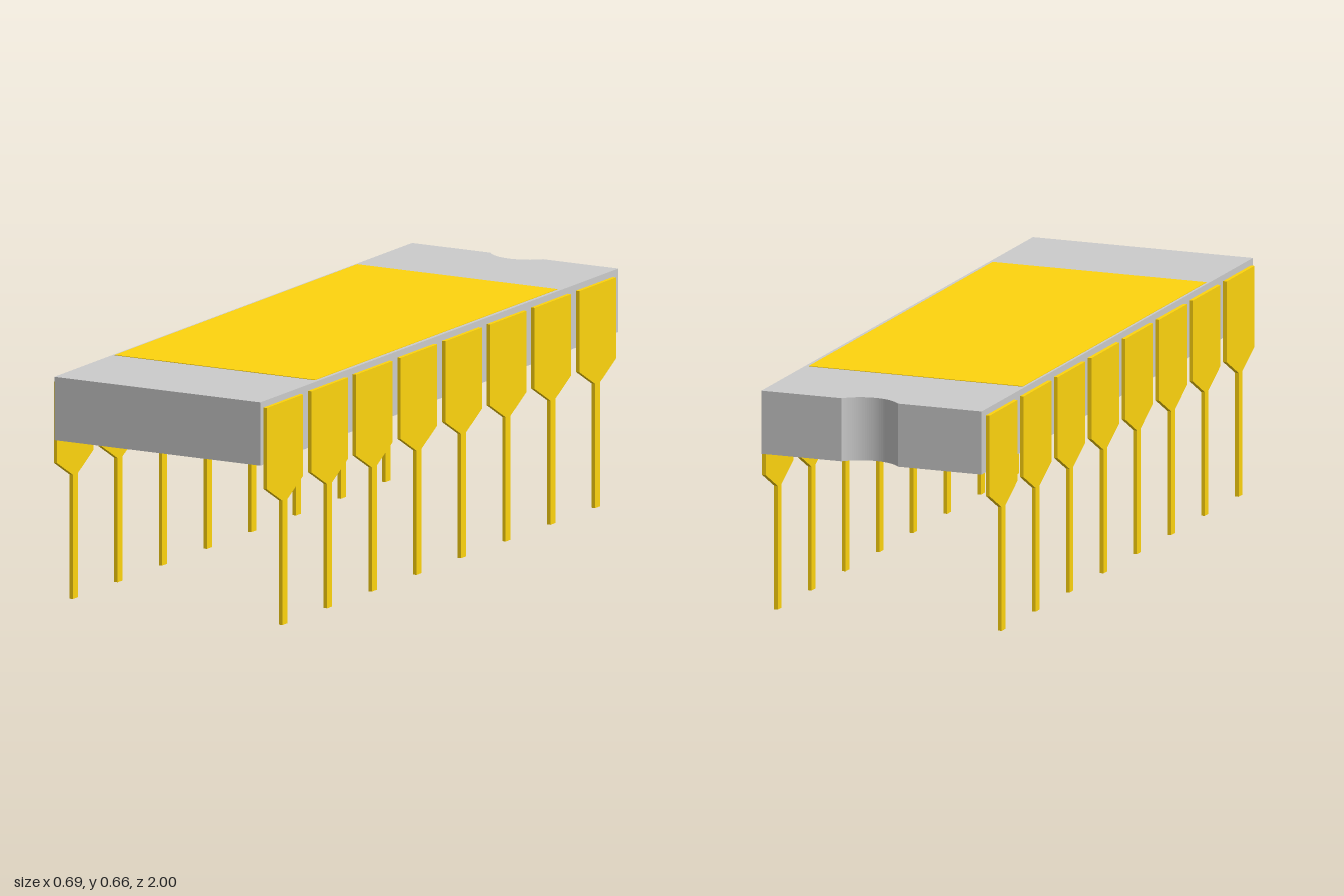
import * as THREE from 'three';

const grey = new THREE.MeshStandardMaterial({ color: 0xcccccc });
const gold = new THREE.MeshStandardMaterial({ color: 0xffd50e });

// Rectangular package with an orientation notch in its back end
function makeBody() {
  const w = 0.332, bottom = 0.474, top = 0.655;
  const notchX = 0.005, half = 0.085, depth = 0.04;
  const r = (half * half + depth * depth) / (2 * depth);
  const a = Math.asin(half / r);
  const s = new THREE.Shape(); // shape y becomes -z
  s.moveTo(-w, -1);
  s.lineTo(w, -1);
  s.lineTo(w, 1);
  s.lineTo(notchX + half, 1);
  s.absarc(notchX, 1 - depth + r, r, -Math.PI / 2 + a, -Math.PI / 2 - a, true);
  s.lineTo(-w, 1);
  s.closePath();
  const g = new THREE.ExtrudeGeometry(s, { depth: top - bottom, bevelEnabled: false, curveSegments: 16 });
  g.rotateX(-Math.PI / 2).translate(0, bottom, 0);
  const body = new THREE.Mesh(g, grey);
  body.name = 'body';
  return body;
}

// Flat pin outline: wide plate, sloped shoulders, narrow stem
function makePinGeometry(thickness) {
  const hw = 0.102, stem = 0.014;
  const s = new THREE.Shape([
    [-stem, 0], [stem, 0], [stem, 0.355], [hw, 0.405],
    [hw, 0.637], [-hw, 0.637], [-hw, 0.405], [-stem, 0.355],
  ].map(([x, y]) => new THREE.Vector2(x, y)));
  const g = new THREE.ExtrudeGeometry(s, { depth: thickness, bevelEnabled: false });
  return g.translate(0, 0, -thickness / 2).rotateY(Math.PI / 2);
}

export function createModel() {
  const model = new THREE.Group();
  model.name = 'integratedCircuit';
  model.add(makeBody());

  // Thin metal lid on the top face
  const lid = new THREE.Mesh(new THREE.BoxGeometry(0.645, 0.006, 1.355), gold);
  lid.position.set(-0.002, 0.6535, -0.002);
  lid.name = 'lid';
  model.add(lid);

  // Two rows of eight pins
  const pinGeometry = makePinGeometry(0.011);
  for (const side of [-1, 1]) {
    const row = new THREE.Group();
    row.name = side > 0 ? 'leftPins' : 'rightPins';
    for (let i = 0; i < 8; i++) {
      const pin = new THREE.Mesh(pinGeometry, gold);
      pin.position.set(side * 0.3375, 0, 0.882 - i * 0.2496);
      pin.name = 'pin';
      row.add(pin);
    }
    model.add(row);
  }
  return model;
}
